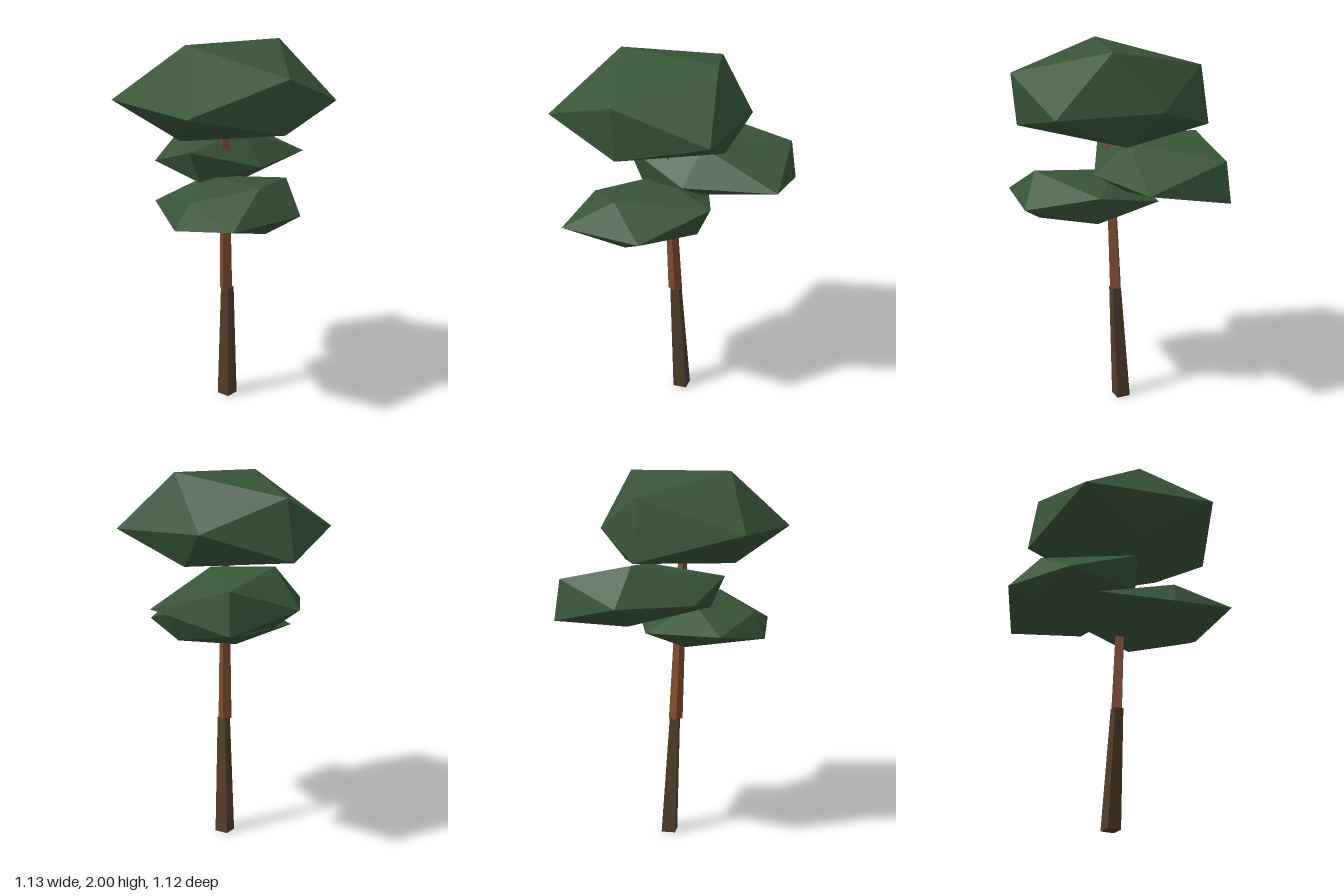
import * as THREE from 'three';
import { ConvexGeometry } from 'three/addons/geometries/ConvexGeometry.js';

function material(name, color) {
  const m = new THREE.MeshStandardMaterial({ color, flatShading: true });
  m.name = name;
  return m;
}

// Four-sided tapering log running from one centre point to another
function log(name, mat, from, to, rBottom, rTop, twist) {
  const h = to[1] - from[1];
  const geo = new THREE.CylinderGeometry(rTop, rBottom, h, 4);
  geo.rotateY(Math.PI / 4 + twist);
  geo.translate(0, h / 2, 0);
  const p = geo.attributes.position;
  for (let i = 0; i < p.count; i++) {
    const t = p.getY(i) / h;
    p.setXYZ(
      i,
      p.getX(i) + THREE.MathUtils.lerp(from[0], to[0], t),
      p.getY(i) + from[1],
      p.getZ(i) + THREE.MathUtils.lerp(from[2], to[2], t)
    );
  }
  geo.computeVertexNormals();
  const mesh = new THREE.Mesh(geo, mat);
  mesh.name = name;
  return mesh;
}

// Faceted clump of foliage around twelve corners
function clump(name, mat, corners) {
  const mesh = new THREE.Mesh(
    new ConvexGeometry(corners.map((c) => new THREE.Vector3(...c))), mat);
  mesh.name = name;
  return mesh;
}

export function createModel() {
  const tree = new THREE.Group();
  tree.name = 'tree';
  const bark = material('darkBark', 0x513d2a);
  const redBark = material('redBark', 0x804a2e);
  const leaf = material('foliageGreen', 0x385538);

  // Leaning trunk in two tones
  tree.add(
    log('lowerTrunk', bark, [0.003, 0, -0.011], [0.03, 0.655, 0.012], 0.054, 0.035, 0.15),
    log('upperTrunk', redBark, [0.026, 0.65, 0.018], [0.053, 1.56, 0.049], 0.038, 0.024, -0.4)
  );

  // Three stacked crowns
  tree.add(
    clump('topCrown', leaf, [
      [0.055, 2, 0.31], [0.12, 2, -0.27],
      [-0.43, 1.88, -0.04], [0.565, 1.865, 0.08],
      [0.375, 1.7, 0.56], [-0.33, 1.7, 0.495], [-0.12, 1.7, -0.355], [0.44, 1.7, -0.38],
      [-0.48, 1.56, -0.04], [0.54, 1.59, 0.08],
      [0.05, 1.52, 0.34], [0.05, 1.52, -0.28]
    ]),
    clump('middleCrown', leaf, [
      [-0.39, 1.54, -0.08], [0, 1.51, -0.13],
      [0.05, 1.45, 0.285], [-0.415, 1.46, -0.465],
      [-0.565, 1.34, -0.105], [-0.32, 1.34, 0.23], [0.175, 1.34, -0.1], [0.02, 1.34, -0.565],
      [0.04, 1.28, 0.21], [-0.435, 1.245, -0.49],
      [-0.4, 1.23, -0.1], [0, 1.24, -0.12]
    ]),
    clump('lowerCrown', leaf, [
      [0, 1.3, 0.13], [0.44, 1.32, 0.15],
      [0.2, 1.235, 0.41], [0.19, 1.26, -0.27],
      [-0.19, 1.16, 0.33], [-0.19, 1.16, -0.08], [0.535, 1.16, 0.41], [0.535, 1.16, -0.04],
      [0.17, 1.1, 0.48], [0.18, 1.1, -0.19],
      [0, 1.06, 0.08], [0.43, 1.07, 0.1]
    ])
  );
  return tree;
}
